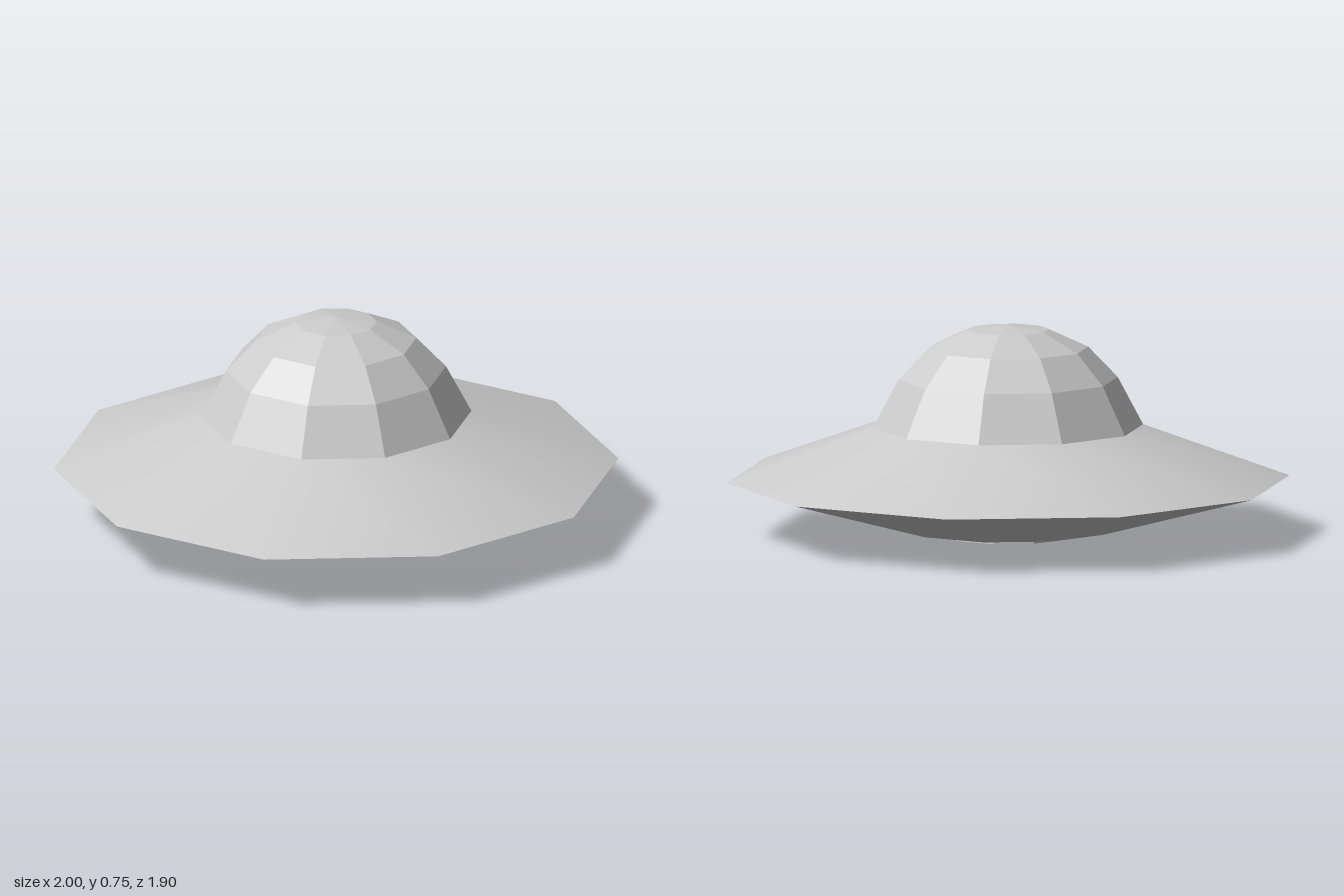
import * as THREE from 'three';

const SIDES = 10;

// Ten-sided lathe with a corner on the x axis; profile runs from bottom to top
function lathePart(name, profile, flatShading) {
  const points = profile.map(([r, y]) => new THREE.Vector2(r, y));
  const geometry = new THREE.LatheGeometry(points, SIDES, Math.PI / 2);
  const material = new THREE.MeshStandardMaterial({
    color: 0xcccccc, flatShading, side: THREE.DoubleSide,
  });
  const mesh = new THREE.Mesh(geometry, material);
  mesh.name = name;
  return mesh;
}

export function createModel() {
  const saucer = new THREE.Group();
  saucer.name = 'flyingSaucer';

  // Smooth hull, split at the rim so that edge stays sharp
  saucer.add(lathePart('lowerHull', [[0, 0.03], [0.39, 0.03], [1, 0.2]], false));
  saucer.add(lathePart('upperHull', [[1, 0.2], [0.48, 0.39]], false));

  // Faceted cockpit dome
  saucer.add(lathePart('dome',
    [[0.48, 0.39], [0.39, 0.56], [0.285, 0.67], [0.145, 0.735], [0, 0.755]], true));

  // Short faceted disc under the hull
  saucer.add(lathePart('bottomHatch', [[0, 0], [0.23, 0], [0.23, 0.03]], true));

  return saucer;
}
